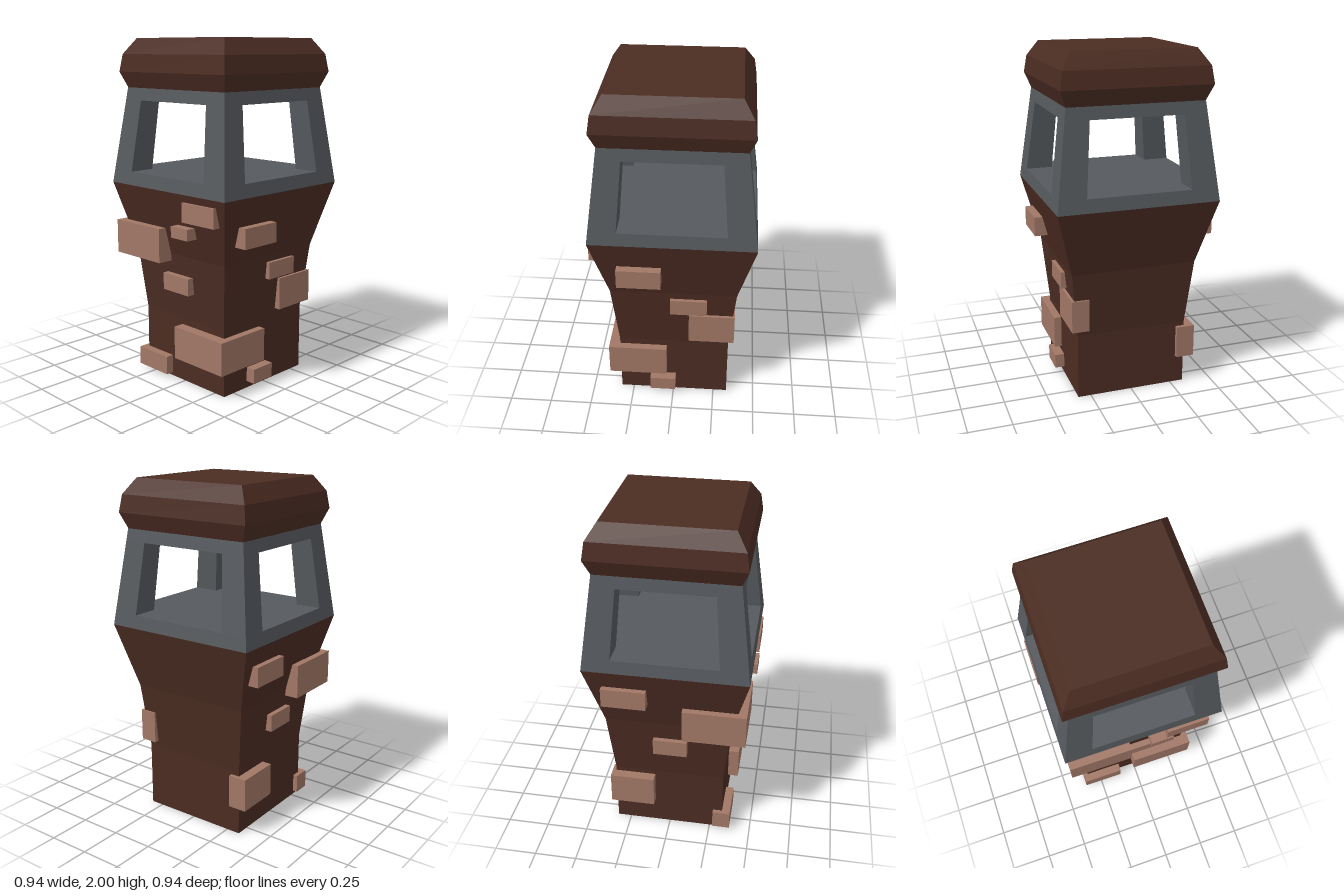
import * as THREE from 'three';

const brown = new THREE.MeshStandardMaterial({ color: 0x4b2c22, side: THREE.DoubleSide });
brown.name = 'dark brown plaster';
const grey = new THREE.MeshStandardMaterial({ color: 0x565a5e });
grey.name = 'slate grey frame';
const clay = new THREE.MeshStandardMaterial({ color: 0xa17766 });
clay.name = 'pale clay brick';

// Loft through rectangular sections [y, x0, x1, z0, z1], listed from bottom to top
function loft(levels, capBottom = true, capTop = true) {
  const pos = [];
  const ring = ([y, x0, x1, z0, z1]) => [[x0, y, z1], [x1, y, z1], [x1, y, z0], [x0, y, z0]];
  const quad = (a, b, c, d) => pos.push(...a, ...b, ...c, ...a, ...c, ...d);
  const rings = levels.map(ring);
  for (let i = 0; i < rings.length - 1; i++) {
    for (let j = 0; j < 4; j++) {
      const k = (j + 1) % 4;
      quad(rings[i][j], rings[i][k], rings[i + 1][k], rings[i + 1][j]);
    }
  }
  if (capBottom) quad(...[...rings[0]].reverse());
  if (capTop) quad(...rings[rings.length - 1]);
  const g = new THREE.BufferGeometry();
  g.setAttribute('position', new THREE.Float32BufferAttribute(pos, 3));
  g.computeVertexNormals();
  return g;
}

const square = (y, h) => [y, -h, h, -h, h];

function add(parent, name, geometry, material) {
  const mesh = new THREE.Mesh(geometry, material);
  mesh.name = name;
  parent.add(mesh);
  return mesh;
}

export function createModel() {
  const model = new THREE.Group();
  model.name = 'watchtower';

  const tower = new THREE.Group();
  tower.name = 'tower';
  tower.position.set(-0.003, 0, -0.003);
  model.add(tower);

  // Flaring shaft, hollow and open at the foot
  add(tower, 'shaft', loft([
    square(0, 0.329), square(0.39, 0.329), square(0.78, 0.368), square(1.163, 0.467),
  ], false, false), brown);

  // Lookout: floor, ceiling and four leaning corner posts
  const outer = (y) => 0.467 - (y - 1.163) * (0.072 / 0.557);
  const sill = 1.24, head = 1.65;
  add(tower, 'lookoutFloor', loft([square(1.163, outer(1.163)), square(sill, outer(sill))]), grey);
  add(tower, 'lookoutCeiling', loft([square(head, outer(head)), square(1.72, outer(1.72))]), grey);
  const post = (y, inner, sx, sz) => {
    const span = (s) => (s > 0 ? [inner, outer(y)] : [-outer(y), -inner]);
    return [y, ...span(sx), ...span(sz)];
  };
  for (const sx of [-1, 1]) {
    for (const sz of [-1, 1]) {
      add(tower, 'cornerPost', loft([post(sill, 0.302, sx, sz), post(head, 0.268, sx, sz)], false, false), grey);
    }
  }

  // Bevelled roof cap
  add(tower, 'roof', loft([
    square(1.72, 0.394), square(1.81, 0.429), square(1.91, 0.414), square(2, 0.355),
  ]), brown);

  // Exposed bricks: x0, x1, y0, y1, z0, z1
  const bricks = new THREE.Group();
  bricks.name = 'bricks';
  model.add(bricks);
  const layout = [
    // front
    [0.14, 0.39, 1.01, 1.12, 0.35, 0.47],
    [0.05, 0.185, 0.91, 0.975, 0.35, 0.47],
    [-0.11, 0.1, 0.56, 0.66, 0.28, 0.39],
    [-0.36, -0.11, 0.02, 0.13, 0.27, 0.375],
    // wrapping the corners
    [-0.45, -0.07, 0.735, 0.935, 0.09, 0.455],
    [-0.02, 0.37, 0.155, 0.35, 0.04, 0.39],
    [-0.39, -0.28, 0.17, 0.365, -0.355, -0.09],
    // left side
    [0.35, 0.47, 0.885, 1.0, 0.06, 0.31],
    [0.28, 0.383, 0.64, 0.74, -0.2, 0.015],
    [0.264, 0.366, 0.43, 0.62, -0.365, -0.095],
    [0.28, 0.383, 0.04, 0.125, -0.015, 0.14],
    // right side
    [-0.475, -0.35, 0.94, 1.055, -0.365, -0.11],
    [-0.39, -0.28, 0.57, 0.67, -0.09, 0.11],
  ];
  for (const [x0, x1, y0, y1, z0, z1] of layout) {
    const brick = add(bricks, 'brick', new THREE.BoxGeometry(x1 - x0, y1 - y0, z1 - z0), clay);
    brick.position.set((x0 + x1) / 2, (y0 + y1) / 2, (z0 + z1) / 2);
  }
  return model;
}
